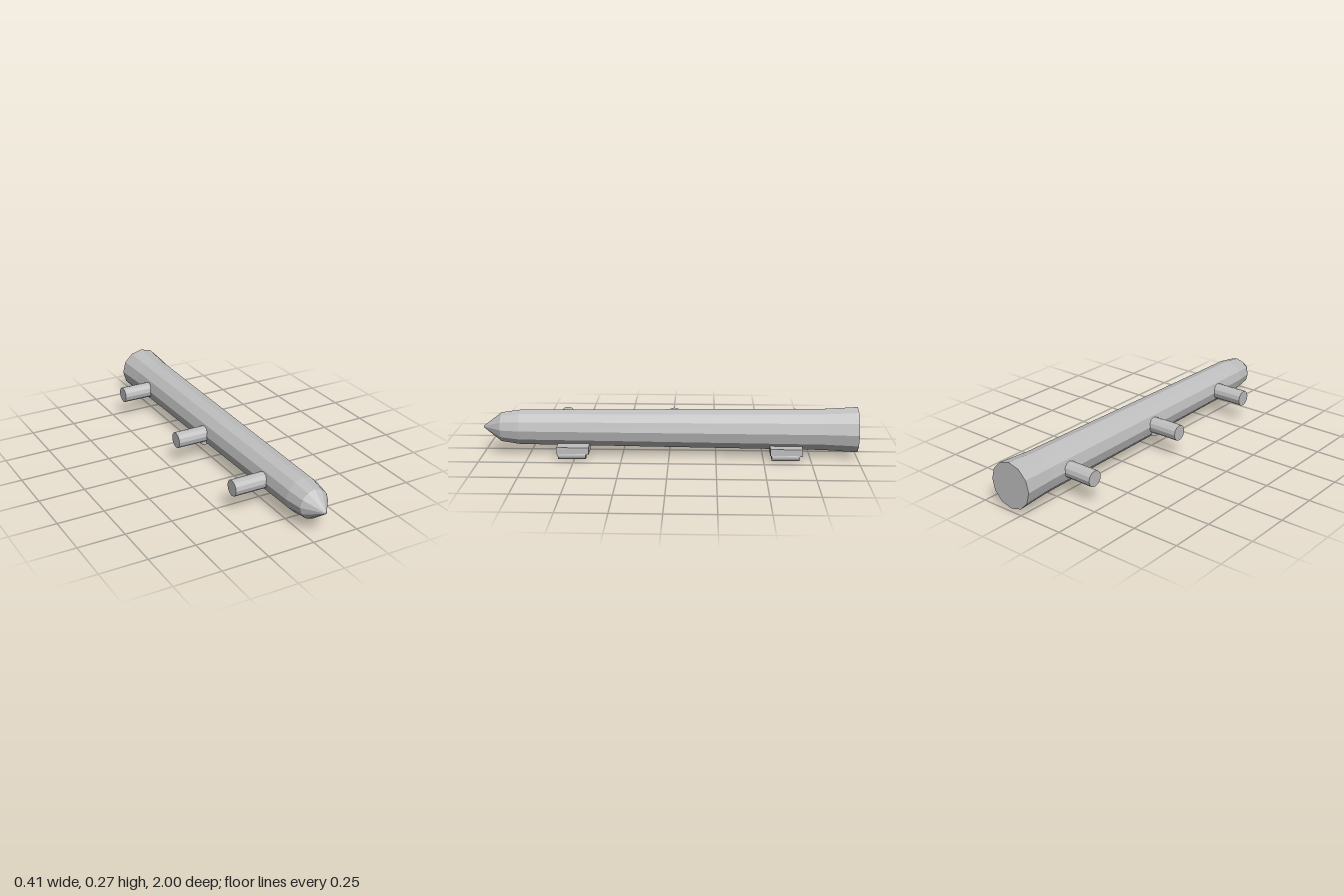
import * as THREE from 'three';

export function createModel() {
  const model = new THREE.Group();
  const grey = new THREE.MeshStandardMaterial({ color: 0xbfbfbf, flatShading: true });
  grey.name = 'plain grey';

  const add = (name, geometry, x, y, z) => {
    const mesh = new THREE.Mesh(geometry, grey);
    mesh.name = name;
    mesh.position.set(x, y, z);
    model.add(mesh);
  };

  const axisX = 0.0625, axisY = 0.142;

  // Twelve-sided tapering body with a flared, closed rear and a pointed nose
  const profile = [
    [0, -1], [0.124, -1], [0.113, -0.82], [0.095, 0.8],
    [0.08, 0.9], [0.004, 1], [0, 1],
  ].map(([r, z]) => new THREE.Vector2(r, z));
  add('body', new THREE.LatheGeometry(profile, 12).rotateX(Math.PI / 2), axisX, axisY, 0);

  // Three side pegs
  for (const z of [-0.692, -0.02, 0.577]) {
    const peg = new THREE.CylinderGeometry(0.043, 0.043, 0.205, 12).rotateZ(Math.PI / 2);
    add('sidePeg', peg, -0.1025, axisY, z);
  }

  // Small stud under the root of the middle peg
  add('stud', new THREE.CylinderGeometry(0.02, 0.02, 0.05, 12), -0.035, 0.109, -0.02);

  // Two brackets, each a flat arm with a round rail below its outer edge
  for (const z of [-0.62, 0.508]) {
    add('bracketArm', new THREE.BoxGeometry(0.112, 0.039, 0.17), 0.145, 0.0485, z);
    const rail = new THREE.CylinderGeometry(0.024, 0.024, 0.147, 24).rotateX(Math.PI / 2);
    add('bracketRail', rail, 0.179, 0.024, z + 0.004);
  }

  return model;
}
